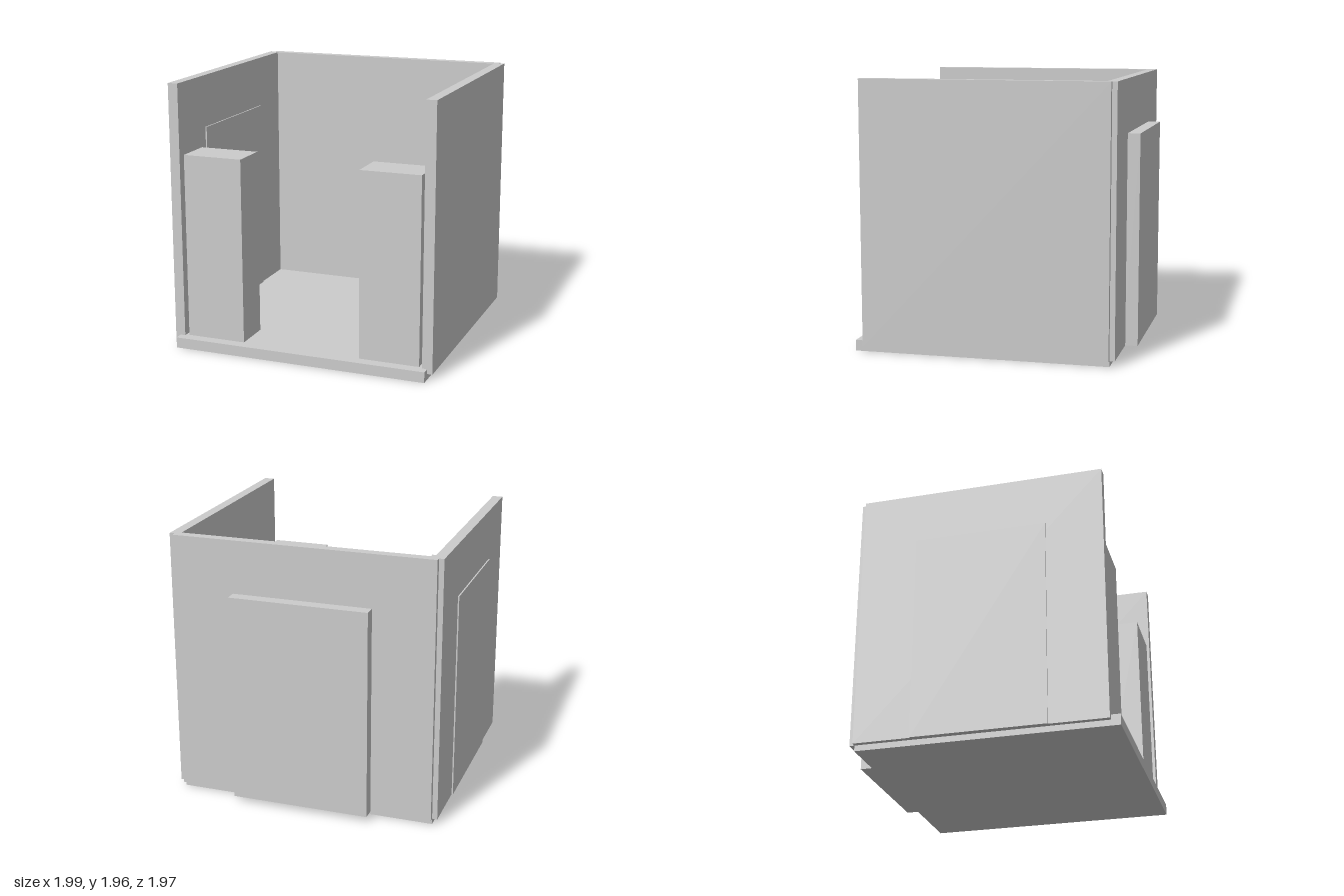
import * as THREE from 'three';

export function createModel() {
  const group = new THREE.Group();
  const material = new THREE.MeshStandardMaterial({ color: 0xcccccc, flatShading: true });

  // Box given by its extents along each axis
  function slab(name, [x0, x1], [y0, y1], [z0, z1]) {
    const mesh = new THREE.Mesh(new THREE.BoxGeometry(x1 - x0, y1 - y0, z1 - z0), material);
    mesh.position.set((x0 + x1) / 2, (y0 + y1) / 2, (z0 + z1) / 2);
    mesh.name = name;
    group.add(mesh);
  }

  const wallY = [0.042, 1.955];
  const doorY = [0.042, 1.57];
  const sideZ = [-0.86, 0.921];

  // Floor slab, reaching out past the open front
  slab('floor', [-0.951, 0.958], [0, 0.078], [-0.86, 0.986]);

  // Three walls
  slab('rightWall', [-0.988, -0.913], wallY, sideZ);
  slab('leftWall', [0.92, 0.996], wallY, sideZ);
  slab('backWall', [-0.951, 0.958], wallY, [-0.897, -0.824]);

  // Door panels: one set through the side wall, one standing proud of the back
  slab('sideDoor', [-0.998, -0.903], doorY, [-0.451, 0.508]);
  slab('backDoor', [-0.505, 0.51], doorY, [-0.987, -0.88]);

  // Pair of tall blocks inside the front corners
  slab('rightPillar', [-0.888, -0.443], [0.07, 1.44], [0.618, 0.903]);
  slab('leftPillar', [0.449, 0.894], [0.07, 1.44], [0.618, 0.903]);

  return group;
}
